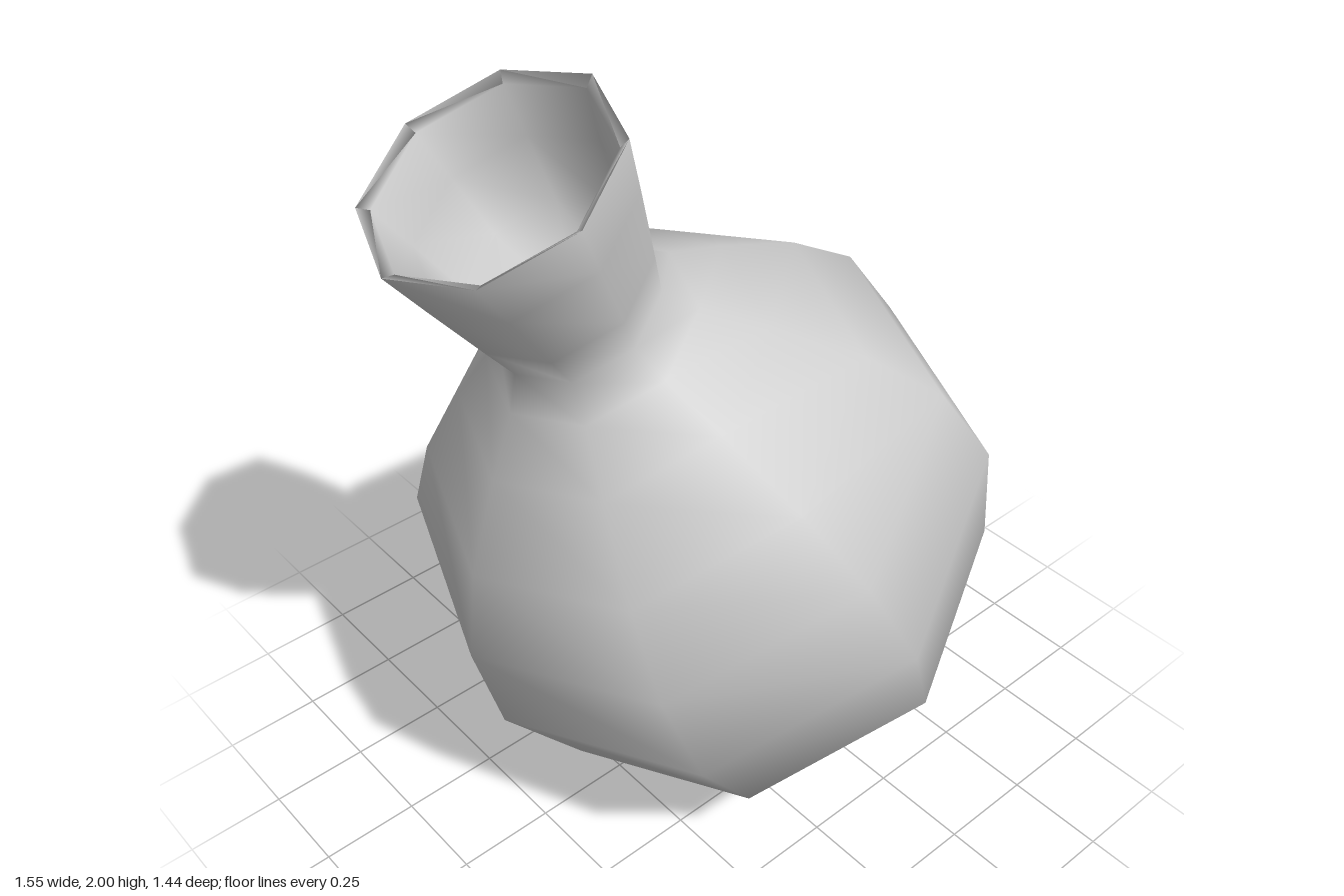
import * as THREE from 'three';

export function createModel() {
  const model = new THREE.Group();
  model.name = 'flask';
  const material = new THREE.MeshStandardMaterial({ color: 0xcccccc });

  // Profile as [radius, height along the flask's own axis]
  const profile = [
    // round body, from the base up
    [0, 0], [0.407, 0.096], [0.643, 0.376], [0.721, 0.718], [0.669, 0.987],
    [0.541, 1.182], [0.372, 1.355], [0.25, 1.465],
    // neck flaring to the rim
    [0.192, 1.54], [0.217, 1.646], [0.26, 1.838], [0.29, 1.978],
    // thin lip and hollow mouth
    [0.265, 1.962], [0.235, 1.84], [0.195, 1.68], [0.11, 1.61], [0, 1.59],
  ].map(([r, h]) => new THREE.Vector2(r, h));

  // Eight-sided turned shape, leaning to one side
  const flask = new THREE.Mesh(new THREE.LatheGeometry(profile, 8), material);
  flask.name = 'bodyAndNeck';
  flask.rotation.z = 0.462;
  flask.position.set(0.37, 0.1, 0);
  model.add(flask);

  return model;
}
